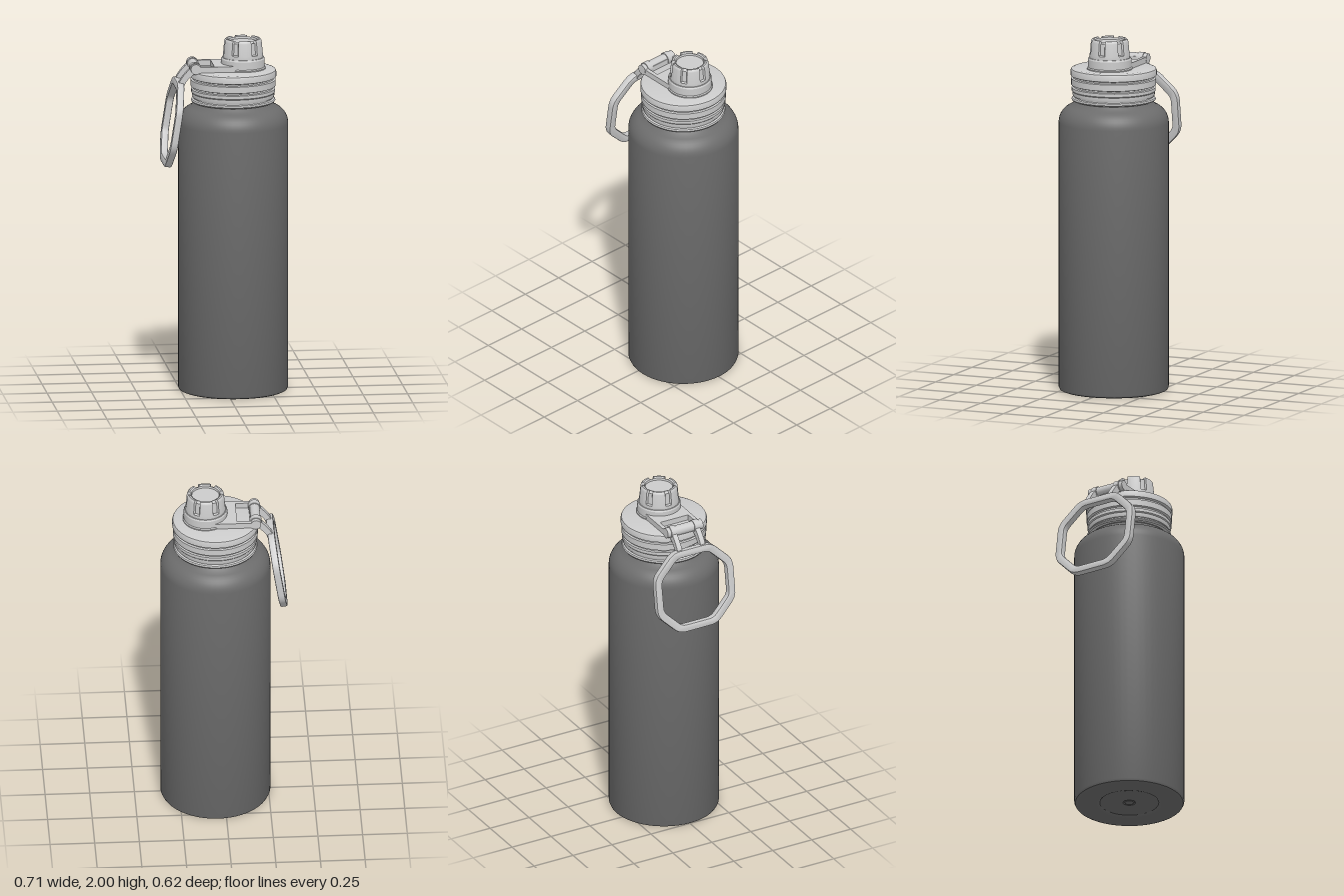
import * as THREE from 'three';
import { toCreasedNormals } from 'three/addons/utils/BufferGeometryUtils.js';

const grey = new THREE.MeshStandardMaterial({ color: 0xcccccc });
const dark = new THREE.MeshStandardMaterial({ color: 0x6c6c6c });
const BODY_X = 0.047, SPOUT_X = 0.102;

function add(parent, name, geometry, material = grey, x = 0, y = 0, z = 0) {
  const mesh = new THREE.Mesh(geometry, material);
  mesh.name = name;
  mesh.position.set(x, y, z);
  parent.add(mesh);
  return mesh;
}

// Turned part; the profile runs [radius, y] from bottom to top.
function turned(profile, segments = 56) {
  return new THREE.LatheGeometry(profile.map(([r, y]) => new THREE.Vector2(r, y)), segments);
}
const creased = (g, angle = 0.5) => toCreasedNormals(g, angle);

// Traces a rectangle with large chamfers whose corners are softened.
function chamferedLoop(path, w, h, c, soft) {
  const p = [[w, -h + c], [w, h - c], [w - c, h], [-w + c, h],
    [-w, h - c], [-w, -h + c], [-w + c, -h], [w - c, -h]].map(([x, y]) => new THREE.Vector2(x, y));
  p.forEach((corner, i) => {
    const before = p[(i + 7) % 8], after = p[(i + 1) % 8];
    const a = corner.clone().add(before.clone().sub(corner).setLength(soft));
    const b = corner.clone().add(after.clone().sub(corner).setLength(soft));
    if (i === 0) path.moveTo(a.x, a.y); else path.lineTo(a.x, a.y);
    path.quadraticCurveTo(corner.x, corner.y, b.x, b.y);
  });
  path.closePath();
  return path;
}

// Spout cap: a tapered turned cup with six notches pressed into its rim.
function spoutCap() {
  const g = turned([[0.1, 1.89], [0.112, 1.895], [0.112, 1.915], [0.111, 1.92], [0.105, 1.985],
    [0.102, 1.995], [0.096, 2], [0.087, 2], [0.079, 1.994], [0.077, 1.982], [0.0001, 1.982]], 144);
  const p = g.attributes.position;
  for (let i = 0; i < p.count; i++) {
    const x = p.getX(i), y = p.getY(i), z = p.getZ(i), r = Math.hypot(x, z);
    if (y < 1.918 || r < 0.08) continue;
    const step = Math.PI / 3, a = Math.atan2(z, x);
    const offset = Math.abs(a - Math.round(a / step) * step);
    if (offset > 0.14) continue;
    const k = r > 0.09 ? (r - 0.01) / r : 1;
    p.setXYZ(i, x * k, y > 1.99 ? y - 0.014 : y, z * k);
  }
  return creased(g, 0.6);
}

export function createModel() {
  const model = new THREE.Group();
  model.name = 'bottle';

  // Flask with recessed rings in the base and a rounded shoulder
  const shoulder = [];
  for (let i = 0; i <= 8; i++) {
    const a = (i / 8) * 1.2;
    shoulder.push([0.198 + 0.11 * Math.cos(a), 1.52 + 0.105 * Math.sin(a)]);
  }
  add(model, 'flask', creased(turned([[0.0001, 0.008], [0.025, 0.008], [0.03, 0.013], [0.035, 0.008],
    [0.165, 0.008], [0.17, 0.003], [0.18, 0], [0.29, 0], [0.302, 0.005], [0.308, 0.018],
    ...shoulder, [0.222, 1.632], [0.214, 1.64], [0.214, 1.7]])), dark, BODY_X);

  // Collar under the lid
  add(model, 'collar', creased(turned([[0.2, 1.643], [0.232, 1.645], [0.236, 1.652],
    [0.232, 1.66], [0.222, 1.664], [0.222, 1.69]])), grey, BODY_X);

  // Lid with grooves around its skirt
  add(model, 'lid', creased(turned([[0.21, 1.668], [0.227, 1.67], [0.23, 1.678], [0.23, 1.694],
    [0.235, 1.7], [0.235, 1.718], [0.226, 1.722], [0.226, 1.73], [0.238, 1.734], [0.238, 1.77],
    [0.228, 1.774], [0.228, 1.782], [0.241, 1.787], [0.241, 1.815], [0.237, 1.824],
    [0.222, 1.83], [0.0001, 1.83]])), grey, BODY_X);

  // Spout base and cap
  add(model, 'spoutBase', creased(turned([[0.127, 1.825], [0.127, 1.836], [0.122, 1.842], [0.122, 1.886],
    [0.117, 1.895], [0.0001, 1.895]])), grey, SPOUT_X);
  add(model, 'spoutCap', spoutCap(), grey, SPOUT_X);

  // Hinge strap lying on the lid, with a rectangular window near the hinge
  const strap = new THREE.Shape();
  strap.moveTo(-0.17, -0.112).lineTo(0.1, -0.112).lineTo(0.1, 0.112).lineTo(-0.17, 0.112).closePath();
  const recess = new THREE.Path();
  recess.moveTo(-0.145, -0.09).lineTo(-0.145, 0.09).lineTo(-0.07, 0.09).lineTo(-0.07, -0.09).closePath();
  strap.holes.push(recess);
  const strapGeometry = new THREE.ExtrudeGeometry(strap, { depth: 0.034, bevelEnabled: false });
  add(model, 'hingeStrap', strapGeometry.rotateX(-Math.PI / 2), grey, 0, 1.828);

  // Hinge pin
  const pin = new THREE.CylinderGeometry(0.029, 0.029, 0.226, 24).rotateX(Math.PI / 2);
  add(model, 'hingePin', pin, grey, -0.175, 1.85);

  // Carry loop, hanging at a slight tilt
  const loop = new THREE.Group();
  loop.name = 'carryLoop';
  const ring = chamferedLoop(new THREE.Shape(), 0.244, 0.236, 0.125, 0.04);
  ring.holes.push(chamferedLoop(new THREE.Path(), 0.214, 0.206, 0.112, 0.03));
  const ringGeometry = new THREE.ExtrudeGeometry(ring, {
    depth: 0.026, bevelThickness: 0.007, bevelSize: 0.006, bevelSegments: 2, curveSegments: 5,
  });
  ringGeometry.translate(0, 0, -0.013).rotateY(Math.PI / 2);
  add(loop, 'loopRing', creased(ringGeometry, 0.6));
  loop.position.set(-0.297, 1.532, 0);
  loop.rotation.z = -0.155;
  model.add(loop);

  // Arms joining the loop to the hinge, each with a knuckle around the pin
  const arm = new THREE.Shape();
  arm.moveTo(-0.277, 1.745).lineTo(-0.24, 1.745).quadraticCurveTo(-0.235, 1.785, -0.165, 1.83);
  arm.lineTo(-0.185, 1.868).quadraticCurveTo(-0.24, 1.825, -0.268, 1.772).closePath();
  for (const side of [-1, 1]) {
    const armGeometry = new THREE.ExtrudeGeometry(arm, { depth: 0.03, bevelEnabled: false, curveSegments: 6 });
    add(model, 'loopArm', creased(armGeometry.translate(0, 0, -0.015)), grey, 0, 0, side * 0.074);
    const knuckle = new THREE.CylinderGeometry(0.034, 0.034, 0.034, 24).rotateX(Math.PI / 2);
    add(model, 'loopKnuckle', knuckle, grey, -0.175, 1.85, side * 0.074);
  }
  return model;
}
